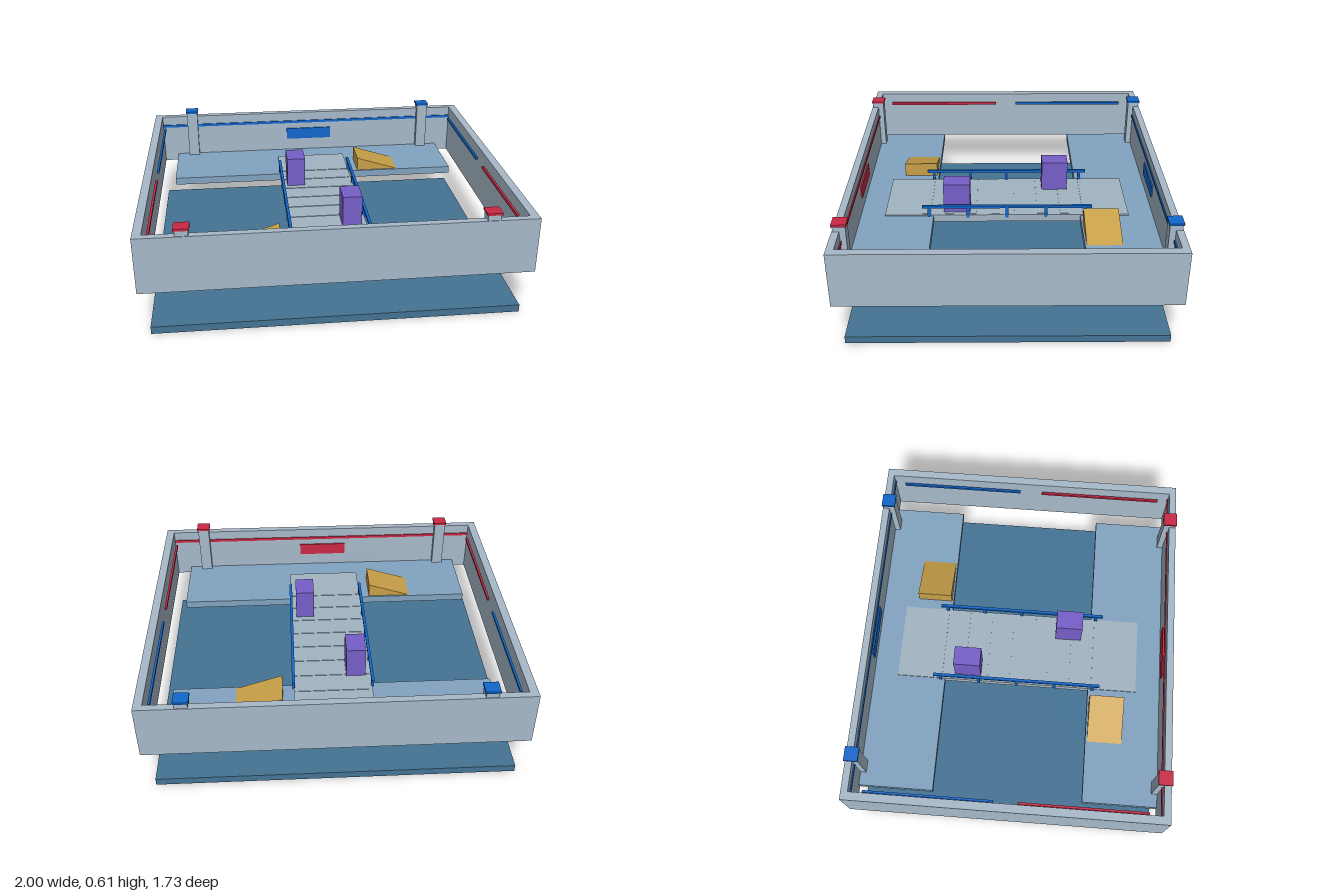
import * as THREE from 'three';

const paint = (name, color) => {
  const m = new THREE.MeshStandardMaterial({ color });
  m.name = name;
  return m;
};

export function createModel() {
  const model = new THREE.Group();
  model.name = 'arena';

  const wallGrey = paint('wallGrey', 0xa7b9c9);
  const bridgeGrey = paint('bridgeGrey', 0xa2b4c2);
  const deckBlue = paint('deckBlue', 0x82a3c0);
  const floorBlue = paint('floorBlue', 0x447394);
  const teamBlue = paint('teamBlue', 0x1066cc);
  const teamRed = paint('teamRed', 0xcb2845);
  const cratePurple = paint('cratePurple', 0x765ec8);
  const rampYellow = paint('rampYellow', 0xc8a048);

  // box given by its min and max on each axis
  const box = (name, mat, [x0, x1], [y0, y1], [z0, z1], parent = model) => {
    const mesh = new THREE.Mesh(new THREE.BoxGeometry(x1 - x0, y1 - y0, z1 - z0), mat);
    mesh.position.set((x0 + x1) / 2, (y0 + y1) / 2, (z0 + z1) / 2);
    mesh.name = name;
    parent.add(mesh);
    return mesh;
  };

  // floor slab, floating below the arena
  box('floor', floorBlue, [-0.955, 0.955], [0, 0.04], [-0.825, 0.825]);

  // perimeter wall: one rectangular ring
  const ring = new THREE.Shape([[-1, -0.865], [1, -0.865], [1, 0.865], [-1, 0.865]]
    .map(([x, y]) => new THREE.Vector2(x, y)));
  ring.holes.push(new THREE.Path([[-0.955, -0.827], [-0.955, 0.827], [0.955, 0.827], [0.955, -0.827]]
    .map(([x, y]) => new THREE.Vector2(x, y))));
  const wallGeo = new THREE.ExtrudeGeometry(ring, { depth: 0.302, bevelEnabled: false });
  wallGeo.rotateX(-Math.PI / 2);
  const wall = new THREE.Mesh(wallGeo, wallGrey);
  wall.position.y = 0.263;
  wall.name = 'wall';
  model.add(wall);

  // bridge with raised slats
  box('bridge', bridgeGrey, [-0.215, 0.215], [0.27, 0.313], [-0.69, 0.69]);
  for (let i = 0; i < 8; i++) {
    const z = -0.455 + i * 0.13;
    box('bridgeSlat', bridgeGrey, [-0.205, 0.205], [0.312, 0.316], [z - 0.023, z + 0.023]);
  }

  // bridge railings
  for (const x of [-0.215, 0.215]) {
    box('rail', teamBlue, [x - 0.008, x + 0.008], [0.36, 0.375], [-0.478, 0.478]);
    for (let i = -2; i <= 2; i++) {
      const z = i * 0.22;
      box('railPost', teamBlue, [x - 0.007, x + 0.007], [0.3, 0.362], [z - 0.008, z + 0.008]);
    }
  }

  // wedge ramp profile, tall on the inner side
  const wedge = new THREE.Shape([[0.275, 0.305], [0.53, 0.305], [0.275, 0.387]]
    .map(([x, y]) => new THREE.Vector2(x, y)));
  const wedgeGeo = new THREE.ExtrudeGeometry(wedge, { depth: 0.195, bevelEnabled: false });
  wedgeGeo.translate(0, 0, -0.62);

  // one half per team: the red half is the blue one turned half round
  for (const [side, teamMat, turn] of [['back', teamBlue, 0], ['front', teamRed, Math.PI]]) {
    const half = new THREE.Group();
    half.name = side + 'Half';
    half.rotation.y = turn;
    model.add(half);

    box('deck', deckBlue, [-0.87, 0.87], [0.263, 0.306], [-0.828, -0.415], half);

    // wall bands and sign plate
    box('endBand', teamMat, [-0.955, 0.955], [0.494, 0.51], [-0.828, -0.821], half);
    box('signPlate', teamMat, [-0.145, 0.145], [0.384, 0.456], [-0.828, -0.819], half);
    for (const s of [-1, 1]) {
      const band = [s * 0.938 - 0.006, s * 0.938 + 0.006];
      box('sideBand', teamMat, band, [0.496, 0.511], [-0.763, -0.065], half);

      // capped corner pillar
      const x = s * 0.763;
      box('pillar', wallGrey, [x - 0.033, x + 0.033], [0.3, 0.596], [-0.861, -0.795], half);
      box('pillarCap', teamMat, [x - 0.039, x + 0.039], [0.594, 0.606], [-0.866, -0.79], half);
    }

    const ramp = new THREE.Mesh(wedgeGeo, rampYellow);
    ramp.name = 'ramp';
    half.add(ramp);

    // cover crate on the bridge
    box('crate', cratePurple, [-0.185, -0.078], [0.313, 0.489], [-0.358, -0.208], half);
  }

  return model;
}
